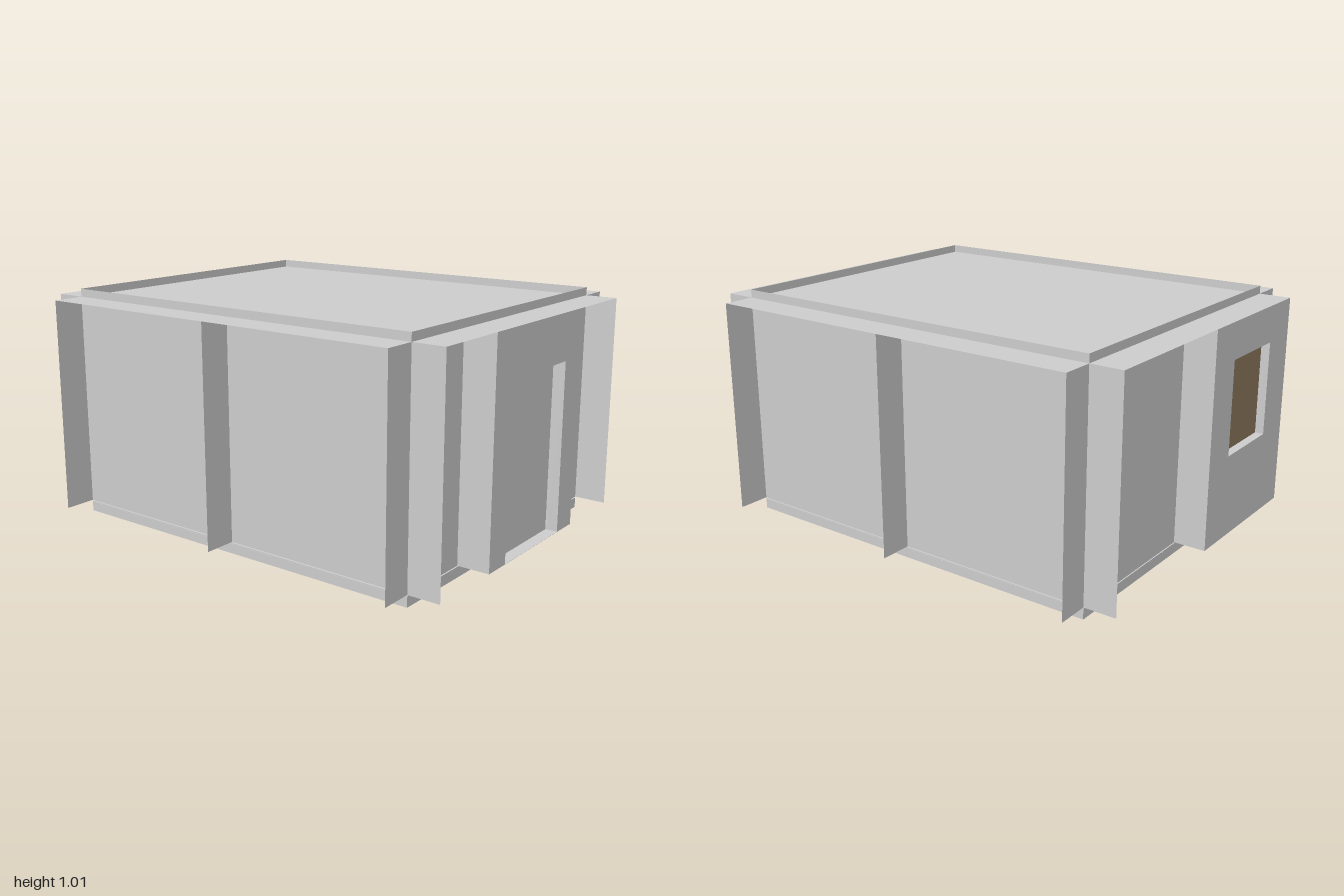
import * as THREE from 'three';

export function createModel() {
  const model = new THREE.Group();
  model.name = 'room';
  const grey = new THREE.MeshStandardMaterial({ color: 0xcccccc, side: THREE.DoubleSide });
  grey.name = 'lightGrey';
  const brown = new THREE.MeshStandardMaterial({ color: 0x8f7a5e, side: THREE.DoubleSide });
  brown.name = 'brownGlass';

  const X = 0.86, Z = 0.69;           // wall planes
  const OX = 1, OZ = 0.83;            // outer edge of fins, ledges and bays
  const BASE = 0.05, EAVE = 0.98, TOP = 1.015;

  const trace = (path, [a0, b0, a1, b1]) =>
    path.moveTo(a0, b0).lineTo(a1, b0).lineTo(a1, b1).lineTo(a0, b1).closePath();

  // Thin panel square to an axis; rect is (z,y) for x, (x,z) for y, (x,y) for z
  function panel(name, axis, pos, rect, hole, material = grey) {
    const shape = new THREE.Shape();
    trace(shape, rect);
    if (hole) {
      const h = new THREE.Path();
      trace(h, hole);
      shape.holes.push(h);
    }
    const geo = new THREE.ShapeGeometry(shape);
    if (axis === 'x') geo.rotateY(-Math.PI / 2).translate(pos, 0, 0);
    else if (axis === 'y') geo.rotateX(Math.PI / 2).translate(0, pos, 0);
    else geo.translate(0, 0, pos);
    const mesh = new THREE.Mesh(geo, material);
    mesh.name = name;
    model.add(mesh);
  }

  function box(name, w, h, d, x, y, z) {
    const mesh = new THREE.Mesh(new THREE.BoxGeometry(w, h, d), grey);
    mesh.position.set(x, y, z);
    mesh.name = name;
    model.add(mesh);
  }

  // Four reveal panels lining an opening between two x positions
  function reveals(name, x0, x1, [z0, y0, z1, y1]) {
    for (const z of [z0, z1]) panel(name + 'Side', 'z', z, [x0, y0, x1, y1]);
    for (const y of [y0, y1]) panel(name + 'Ledge', 'y', y, [x0, z0, x1, z1]);
  }

  // Bay standing out from a side wall, open towards the room
  function bay(name, s, z0, z1, opening, depth) {
    panel(name + 'Face', 'x', s * OX, [z0, BASE, z1, EAVE], opening);
    for (const z of [z0, z1])
      if (Math.abs(z) < Z) panel(name + 'Cheek', 'z', z, [s * X, BASE, s * OX, EAVE]);
    panel(name + 'Floor', 'y', BASE, [s * X, z0, s * OX, z1]);
    reveals(name + 'Reveal', s * OX, s * (OX - depth), opening);
  }

  // Recessed roof
  panel('roof', 'y', EAVE, [-X, -Z, X, Z]);

  for (const s of [-1, 1]) {
    // Front and back: wall, ledge and three fins
    panel('longWall', 'z', s * Z, [-X, BASE, X, EAVE]);
    panel('longRim', 'z', s * Z, [-X, EAVE, X, TOP]);
    panel('longLedge', 'y', EAVE, [-X, s * Z, X, s * OZ]);
    for (const x of [-X, 0, X]) panel('longFin', 'x', x, [s * Z, BASE, s * OZ, EAVE]);

    // Sides: rim, ledge and corner fins
    panel('sideRim', 'x', s * X, [-Z, EAVE, Z, TOP]);
    panel('sideLedge', 'y', EAVE, [s * X, -Z, s * OX, Z]);
    for (const z of [-Z, Z]) panel('sideFin', 'z', z, [s * X, BASE, s * OX, EAVE]);
  }

  // Door side: walls either side of a central bay
  const B = 0.345;
  panel('doorWall', 'x', X, [-Z, BASE, -B, EAVE]);
  panel('doorWall', 'x', X, [B, BASE, Z, EAVE]);
  bay('doorBay', 1, -B, B, [-0.222, BASE + 0.001, 0.222, 0.78], 0.05);
  box('door', 0.015, 0.72, 0.432, 0.942, 0.413, 0);

  // Window side: wall on one half, bay on the other
  const win = [0.17, 0.41, 0.51, 0.82];
  panel('windowWall', 'x', -X, [-Z, BASE, 0, EAVE]);
  bay('windowBay', -1, 0, Z, win, 0.04);
  panel('windowPane', 'x', -0.962, win, null, brown);

  // Floor frame: perimeter and crossing beams
  const H = 0.045, T = 0.012;
  for (const k of [-1, 0, 1]) {
    box('longBeam', 2 * X, H - 0.005, T, 0, (H - 0.005) / 2, k * (Z - T / 2));
    box('crossBeam', T, H - 0.005, 2 * Z, k * (X - T / 2), (H - 0.005) / 2, 0);
  }

  // Floor planks running along x
  const N = 14, pitch = 2 * Z / N;
  for (let i = 0; i < N; i++)
    box('plank', 2 * X, 0.006, pitch - 0.002, 0, H - 0.003, -Z + (i + 0.5) * pitch);

  return model;
}
